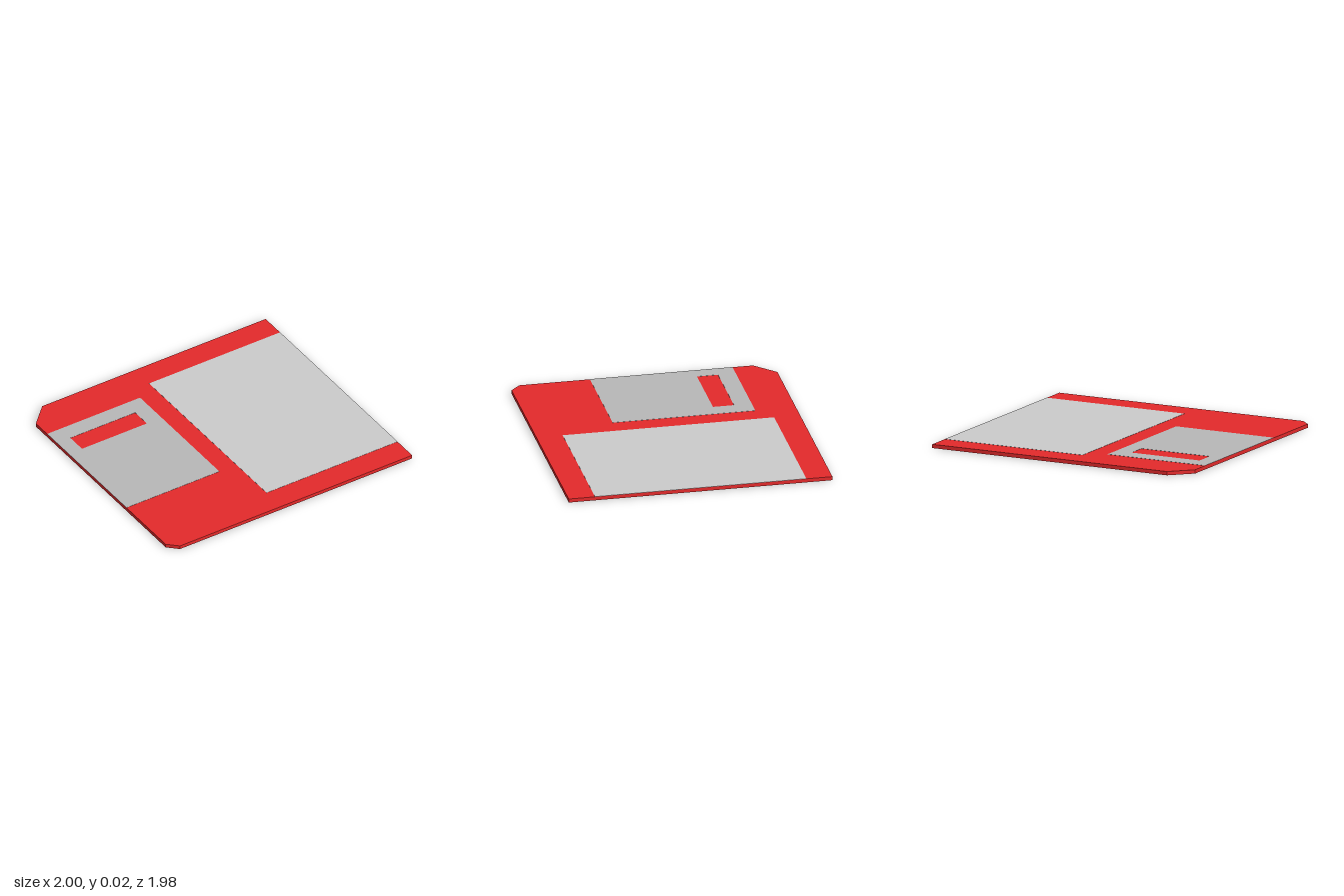
import * as THREE from 'three';

const THICKNESS = 0.021;
const FILM = 0.001;

// Outline from plan points [across, toward front]
function outline(points, Type = THREE.Shape) {
  return new Type(points.map(([x, z]) => new THREE.Vector2(x, -z)));
}

const rect = (x0, x1, z0, z1) => [[x0, z1], [x1, z1], [x1, z0], [x0, z0]];

// Flat slab lying in plan, with its underside at height y
function slab(name, shape, y, depth, color) {
  const geometry = new THREE.ExtrudeGeometry(shape, { depth, bevelEnabled: false });
  geometry.rotateX(-Math.PI / 2);
  const mesh = new THREE.Mesh(geometry, new THREE.MeshStandardMaterial({ color }));
  mesh.name = name;
  mesh.position.y = y;
  return mesh;
}

export function createModel() {
  const model = new THREE.Group();
  model.name = 'floppyDisk';

  const disk = new THREE.Group();
  disk.name = 'disk';
  disk.rotation.y = 0.445;
  model.add(disk);

  // Red case with one large and one small clipped corner
  const caseShape = outline([
    [-0.753, 0.733], [0.755, 0.733], [0.755, -0.736],
    [-0.696, -0.736], [-0.81, -0.624], [-0.81, 0.678],
  ]);
  disk.add(slab('case', caseShape, 0, THICKNESS, 0xe52a2b));

  // Paper label reaching the right edge
  const labelShape = outline(rect(-0.096, 0.755, -0.591, 0.587));
  disk.add(slab('label', labelShape, THICKNESS, FILM, 0xcccccc));

  // Metal shutter with a slot showing the case
  const shutterShape = outline(rect(-0.81, -0.207, -0.51, 0.285));
  shutterShape.holes.push(outline(rect(-0.724, -0.303, -0.411, -0.294), THREE.Path));
  disk.add(slab('shutter', shutterShape, THICKNESS, FILM, 0xb8b8b8));

  return model;
}
